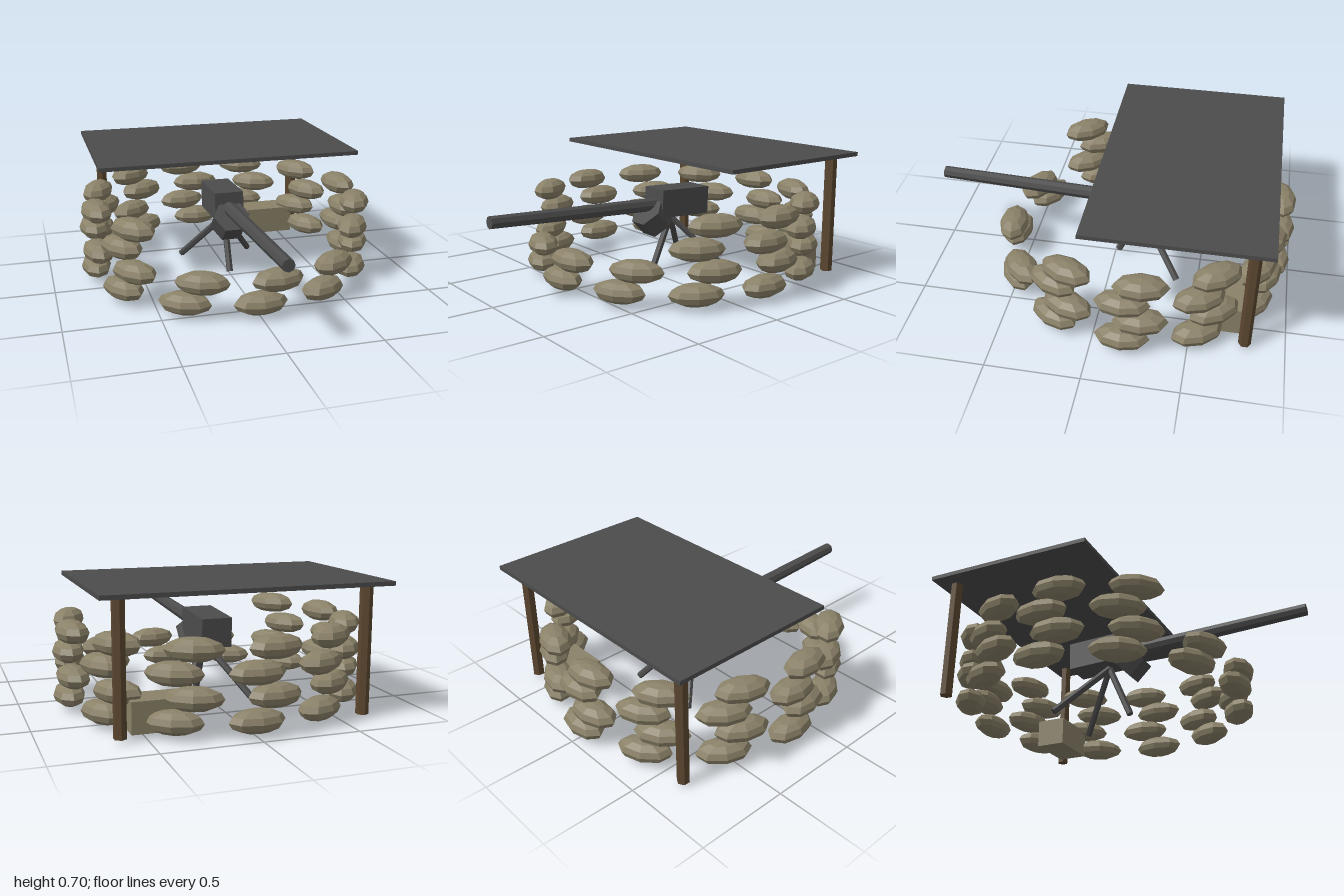
import * as THREE from 'three';

const mat = (name, color) => {
  const m = new THREE.MeshStandardMaterial({ color, flatShading: true });
  m.name = name;
  return m;
};

export function createModel() {
  const khaki = mat('khaki canvas', 0x8a8168);
  const steel = mat('dark steel', 0x4c4c4d);
  const wood = mat('brown wood', 0x5c4730);
  const model = new THREE.Group();
  model.name = 'gunEmplacement';

  const add = (parent, name, geometry, material, x = 0, y = 0, z = 0) => {
    const mesh = new THREE.Mesh(geometry, material);
    mesh.name = name;
    mesh.position.set(x, y, z);
    parent.add(mesh);
    return mesh;
  };

  // Straight rod between two points
  const rod = (parent, name, from, to, r0, r1, sides) => {
    const a = new THREE.Vector3(...from), b = new THREE.Vector3(...to);
    const dir = b.clone().sub(a);
    const mesh = add(parent, name, new THREE.CylinderGeometry(r1, r0, dir.length(), sides), steel);
    mesh.position.copy(a).add(b).multiplyScalar(0.5);
    mesh.quaternion.setFromUnitVectors(new THREE.Vector3(0, 1, 0), dir.normalize());
    return mesh;
  };

  // Four staggered rings of sandbags; the upper two leave a firing gap at the front
  const wall = new THREE.Group();
  wall.name = 'sandbagWall';
  model.add(wall);
  const bag = new THREE.SphereGeometry(1, 8, 6).scale(0.145, 0.06, 0.083);
  for (let row = 0; row < 4; row++) {
    for (let i = 0; i < 12; i++) {
      const a = (i * Math.PI) / 6 + (row % 2) * 0.4;
      if (row > 1 && Math.sin(a) > 0.7) continue;
      const mesh = add(wall, 'sandbag', bag, khaki,
        0.752 * Math.cos(a), 0.078 + row * 0.117, -0.165 + 0.752 * Math.sin(a));
      mesh.rotation.y = -a - Math.PI / 2;
    }
  }

  // Roof sheet on two rear posts
  add(model, 'roof', new THREE.BoxGeometry(1.47, 0.022, 0.945), steel, 0, 0.691, -0.4125);
  for (const s of [-1, 1]) {
    add(model, 'roofPost', new THREE.CylinderGeometry(0.033, 0.033, 0.665, 6), wood, s * 0.63, 0.35, -0.79);
  }

  // Supply crate against the rear wall
  add(model, 'crate', new THREE.BoxGeometry(0.29, 0.16, 0.17), khaki, 0.425, 0.1, -0.685);

  // Gun: receiver, barrel, tilted drum and tripod
  const gun = new THREE.Group();
  gun.name = 'gun';
  model.add(gun);
  const receiver = add(gun, 'receiver', new THREE.BoxGeometry(0.165, 0.158, 0.335), steel, 0, 0.4, -0.198);
  receiver.rotation.x = -0.043;
  rod(gun, 'barrel', [0, 0.393, -0.06], [0, 0.439, 0.998], 0.039, 0.033, 8);
  const drum = add(gun, 'drum',
    new THREE.CylinderGeometry(0.105, 0.105, 0.117, 6, 1, false, Math.PI / 6), steel, 0, 0.325, -0.02);
  drum.rotation.x = Math.PI / 4;
  for (const [x, z] of [[0, -0.02], [0.21, -0.385], [-0.21, -0.385]]) {
    rod(gun, 'tripodLeg', [x, 0.013, z], [0, 0.31, -0.15], 0.019, 0.019, 6);
  }

  return model;
}
